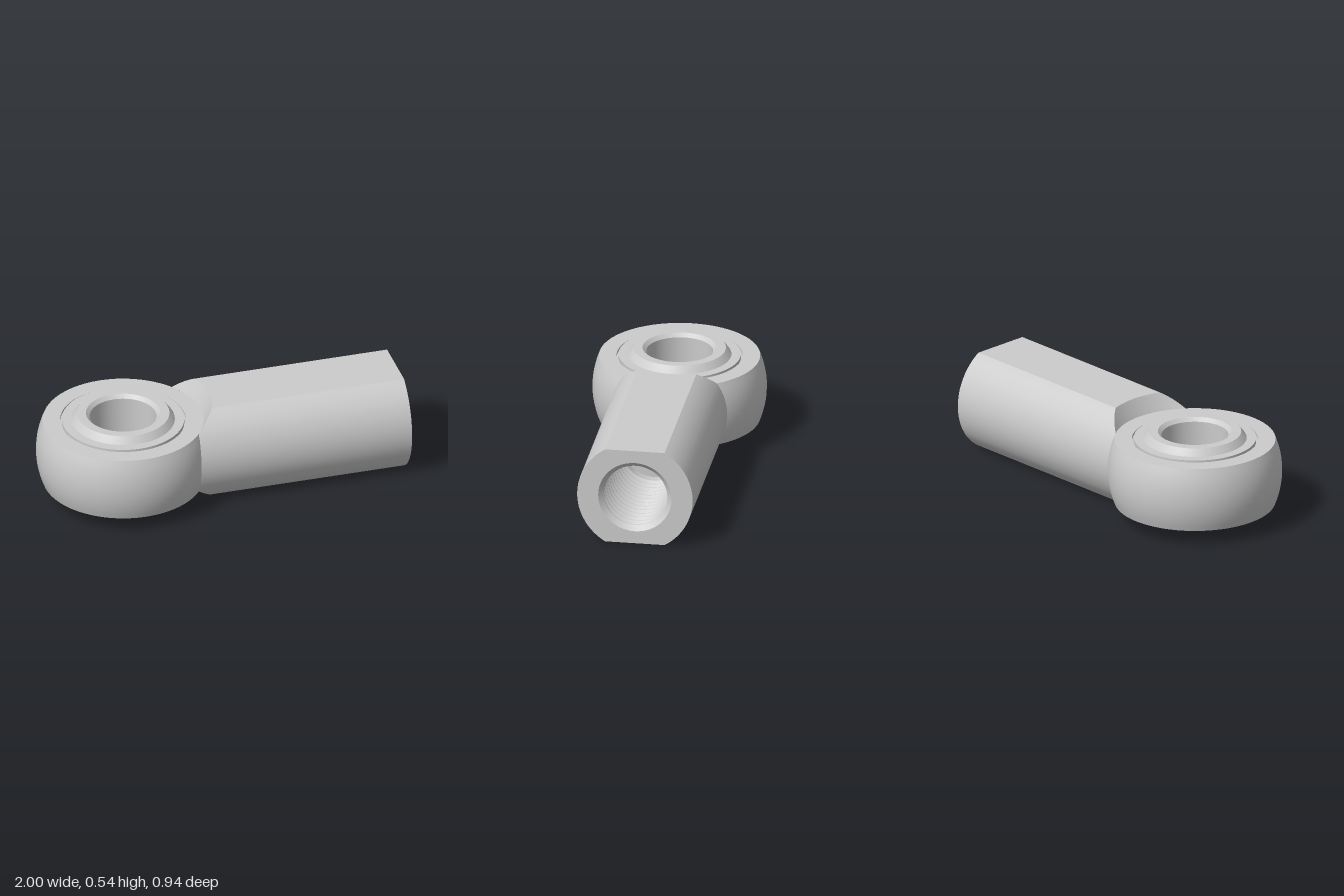
import * as THREE from 'three';
import { toCreasedNormals } from 'three/addons/utils/BufferGeometryUtils.js';

const EYE_X = -0.53, MID = 0.27;      // eye axis and mid height
const EYE_R = 0.47, EYE_H = 0.18;     // spherical eye, half height
const SHANK_R = 0.315, FLAT = 0.27;   // round shank with two flats
const material = new THREE.MeshStandardMaterial({ color: 0xcccccc });

function addMesh(group, name, geometry, crease = 0.4) {
  const mesh = new THREE.Mesh(toCreasedNormals(geometry, crease), material);
  mesh.name = name;
  group.add(mesh);
  return mesh;
}

const lathe = (points) =>
  new THREE.LatheGeometry(points.map(([r, y]) => new THREE.Vector2(r, y)), 64);

// Points on a sphere's profile between -h and +h
function sphereArc(radius, h, steps) {
  return Array.from({ length: steps + 1 }, (_, i) => {
    const y = h * (2 * i / steps - 1);
    return [Math.sqrt(radius * radius - y * y), y];
  });
}

// Surface through rows of [x, y, z] points
function loft(rows) {
  const n = rows[0].length, index = [];
  for (let i = 0; i < rows.length - 1; i++) {
    for (let j = 0; j < n - 1; j++) {
      const a = i * n + j, b = a + 1, c = a + n, d = c + 1;
      index.push(a, b, c, b, d, c);
    }
  }
  const geometry = new THREE.BufferGeometry();
  geometry.setAttribute('position', new THREE.Float32BufferAttribute(rows.flat(2), 3));
  geometry.setIndex(index);
  return geometry;
}

// x where the shank meets the eye: sphere at the sides, cone above and below
function startX(dy, z) {
  const h = Math.abs(dy);
  const r = h < EYE_H ? Math.sqrt(EYE_R ** 2 - h * h) - 0.002 : 0.434 + 0.5 * (h - EYE_H);
  return EYE_X + Math.sqrt(r * r - z * z);
}

export function createModel() {
  const group = new THREE.Group();

  // Bearing end, all turned about the vertical axis
  const eye = new THREE.Group();
  eye.name = 'bearingEnd';
  eye.position.set(EYE_X, MID, 0);
  group.add(eye);

  addMesh(eye, 'eyeHousing', lathe([
    ...sphereArc(EYE_R, EYE_H, 12),
    [0.34, EYE_H], [0.34, 0.165], [0.315, 0.165],
    [0.315, -0.165], [0.34, -0.165], [0.34, -EYE_H], [0.434, -EYE_H],
  ]));
  addMesh(eye, 'outerRace', lathe([
    [0.278, -0.187], [0.33, -0.187], [0.33, 0.187], [0.278, 0.187],
  ]));
  addMesh(eye, 'innerBall', lathe([
    ...sphereArc(0.336, 0.225, 16),
    [0.2, 0.225], [0.18, 0.205], [0.18, -0.205], [0.2, -0.225], [0.25, -0.225],
  ]));

  // Shank cross-section as [z, dy], running round from the +z side over the top
  const tEdge = Math.asin(EYE_H / SHANK_R), tFlat = Math.asin(FLAT / SHANK_R);
  const upper = Array.from({ length: 7 }, (_, i) => tEdge + (tFlat - tEdge) * i / 6);
  const middle = Array.from({ length: 11 }, (_, i) => tEdge * (i / 5.5 - 10 / 11));
  const side = [...upper.map((t) => -t).reverse(), ...middle, ...upper];
  const half = side.map((t) => [SHANK_R * Math.cos(t), SHANK_R * Math.sin(t)]);
  const zFlat = SHANK_R * Math.cos(tFlat);
  for (let i = 1; i < 12; i++) half.push([zFlat * (1 - i / 6), FLAT]);
  const section = [...half, ...half.map(([z, y]) => [-z, -y])];
  const ring = [...section, section[0]];

  addMesh(group, 'shankBody', loft([
    ring.map(([z, y]) => [startX(y, z), MID + y, z]),
    ring.map(([z, y]) => [1, MID + y, z]),
  ].reverse()));

  // Conical shoulders between the eye faces and the flats
  for (const s of [1, -1]) {
    const rows = upper.map((t) => Array.from({ length: 13 }, (_, j) => {
      const z = s * SHANK_R * Math.cos(t) * (j / 6 - 1), dy = s * SHANK_R * Math.sin(t);
      return [startX(dy, z), MID + dy, z];
    }));
    addMesh(group, s > 0 ? 'upperShoulder' : 'lowerShoulder', loft(rows));
  }

  // End face with the threaded hole's mouth
  const face = new THREE.Shape(section.map(([z, y]) => new THREE.Vector2(z, y)));
  face.holes.push(new THREE.Path().absarc(0, 0, 0.2, 0, Math.PI * 2, true));
  const faceGeometry = new THREE.ShapeGeometry(face, 32);
  faceGeometry.rotateY(Math.PI / 2);
  addMesh(group, 'endFace', faceGeometry).position.set(1, MID, 0);

  // Blind threaded hole: chamfer, thread grooves and flat bottom
  const bore = [[0.2, 1], [0.173, 0.973]];
  const pitch = 0.05;
  for (let x = 0.965; x > 0.38; x -= pitch) {
    bore.push([0.173, x], [0.198, x - 0.02], [0.198, x - 0.025], [0.173, x - 0.045]);
  }
  bore.push([0.173, 0.32], [0, 0.32]);
  const boreGeometry = lathe(bore);
  boreGeometry.rotateZ(-Math.PI / 2);
  addMesh(group, 'threadedHole', boreGeometry).position.y = MID;

  return group;
}
